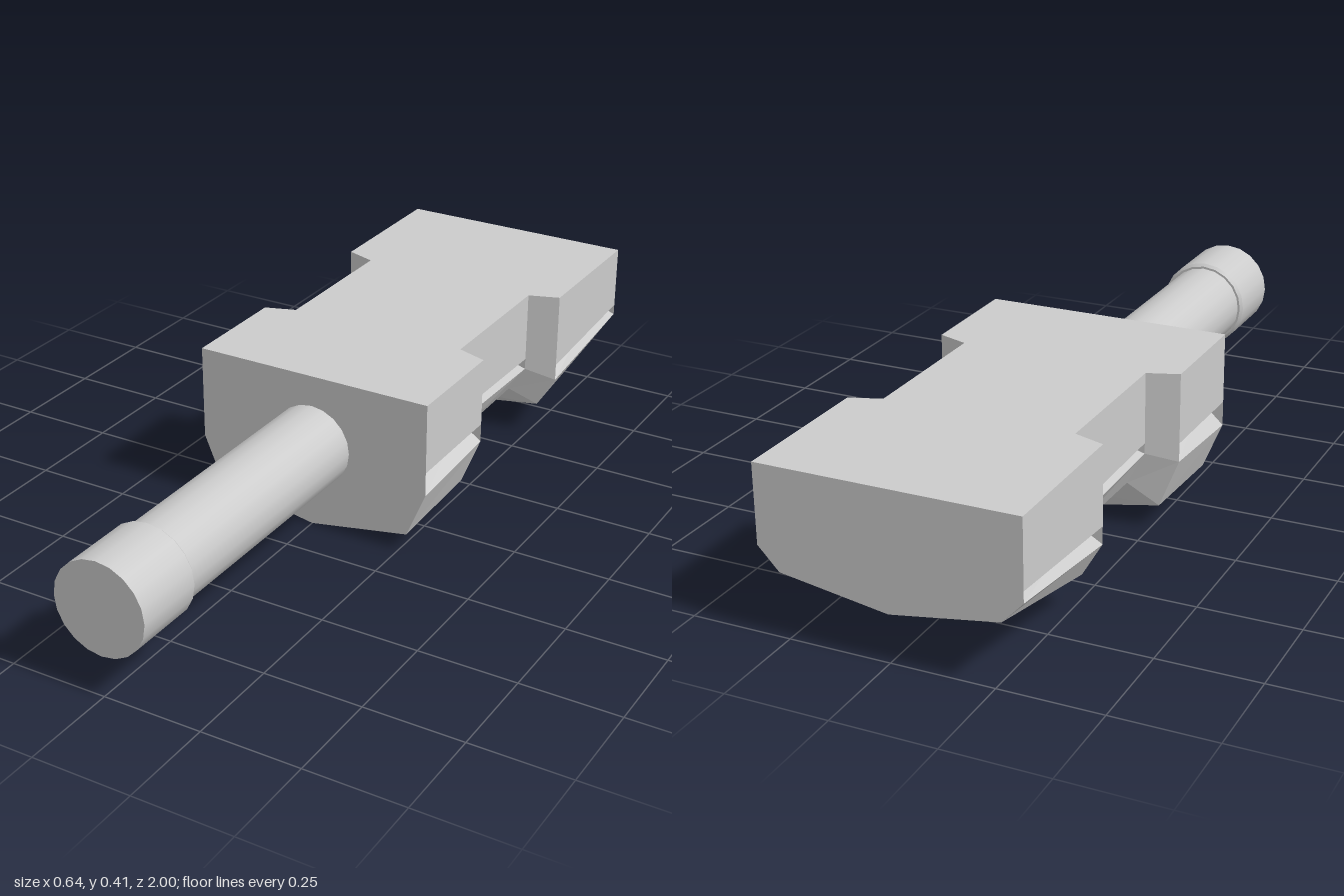
import * as THREE from 'three';

const material = new THREE.MeshStandardMaterial({ color: 0xcccccc });
const flat = new THREE.MeshStandardMaterial({ color: 0xcccccc, flatShading: true });
const TOP = 0.41;
const GROOVE = 0.06;

// Closed outline, counter-clockwise from the keel, mirrored in x
function outline([z, w, grooveTop, grooveIn, ledge, chamferX, chamferY, keel], depth) {
  const half = [
    [chamferX, chamferY], [w, ledge], [w - depth, grooveIn], [w, grooveTop], [w, TOP],
  ];
  const mirrored = half.map(([x, y]) => [-x, y]).reverse();
  return [[0, keel], ...half, ...mirrored].map(([x, y]) => new THREE.Vector3(x, y, z));
}

// Skin a row of outlines running from front to back, with both ends capped
function loft(rings) {
  const pos = [];
  const tri = (...points) => points.forEach((p) => pos.push(p.x, p.y, p.z));
  const n = rings[0].length;
  for (let i = 0; i < rings.length - 1; i++) {
    for (let j = 0; j < n; j++) {
      const k = (j + 1) % n;
      const a = rings[i][j], b = rings[i][k], c = rings[i + 1][k], d = rings[i + 1][j];
      tri(a, d, c);
      tri(a, c, b);
    }
  }
  const first = rings[0], last = rings[rings.length - 1];
  for (let j = 1; j < n - 1; j++) {
    tri(first[0], first[j], first[j + 1]);
    tri(last[0], last[j + 1], last[j]);
  }
  const geometry = new THREE.BufferGeometry();
  geometry.setAttribute('position', new THREE.Float32BufferAttribute(pos, 3));
  geometry.computeVertexNormals();
  return geometry;
}

export function createModel() {
  const model = new THREE.Group();
  model.name = 'blaster';

  // Body: front block, narrow waist, tapering rear block.
  // z, half width, groove top, groove root, ledge, chamfer x, chamfer y, keel
  const stations = [
    [0.13, 0.318, 0.23, 0.222, 0.167, 0.268, 0.047, 0.001],
    [-0.163, 0.318, 0.233, 0.226, 0.185, 0.268, 0.06, 0.012],
    [-0.19, 0.24, 0.23, 0.22, 0.203, 0.195, 0.118, 0.075],
    [-0.583, 0.24, 0.224, 0.214, 0.195, 0.195, 0.125, 0.08],
    [-0.61, 0.318, 0.214, 0.205, 0.17, 0.268, 0.085, 0.045],
    [-1, 0.318, 0.243, 0.236, 0.215, 0.266, 0.16, 0.118],
  ];
  // Each block's side groove stops at its end walls
  const rings = [];
  for (let i = 0; i < stations.length; i += 2) {
    const [front, back] = [stations[i], stations[i + 1]];
    rings.push(outline(front, 0), outline(front, GROOVE), outline(back, GROOVE), outline(back, 0));
  }
  const body = new THREE.Mesh(loft(rings), flat);
  body.name = 'body';
  model.add(body);

  // Barrel and muzzle along z
  const tube = (name, rFront, rBack, zFront, zBack, open) => {
    const geometry = new THREE.CylinderGeometry(rFront, rBack, zFront - zBack, 20, 1, open);
    geometry.rotateX(Math.PI / 2);
    const mesh = new THREE.Mesh(geometry, material);
    mesh.name = name;
    mesh.position.set(0, 0.224, (zFront + zBack) / 2);
    model.add(mesh);
  };
  tube('barrel', 0.106, 0.106, 0.82, 0.12, true);
  tube('muzzleBevel', 0.119, 0.112, 0.815, 0.807, false);
  tube('muzzle', 0.119, 0.119, 1, 0.815, false);

  return model;
}
